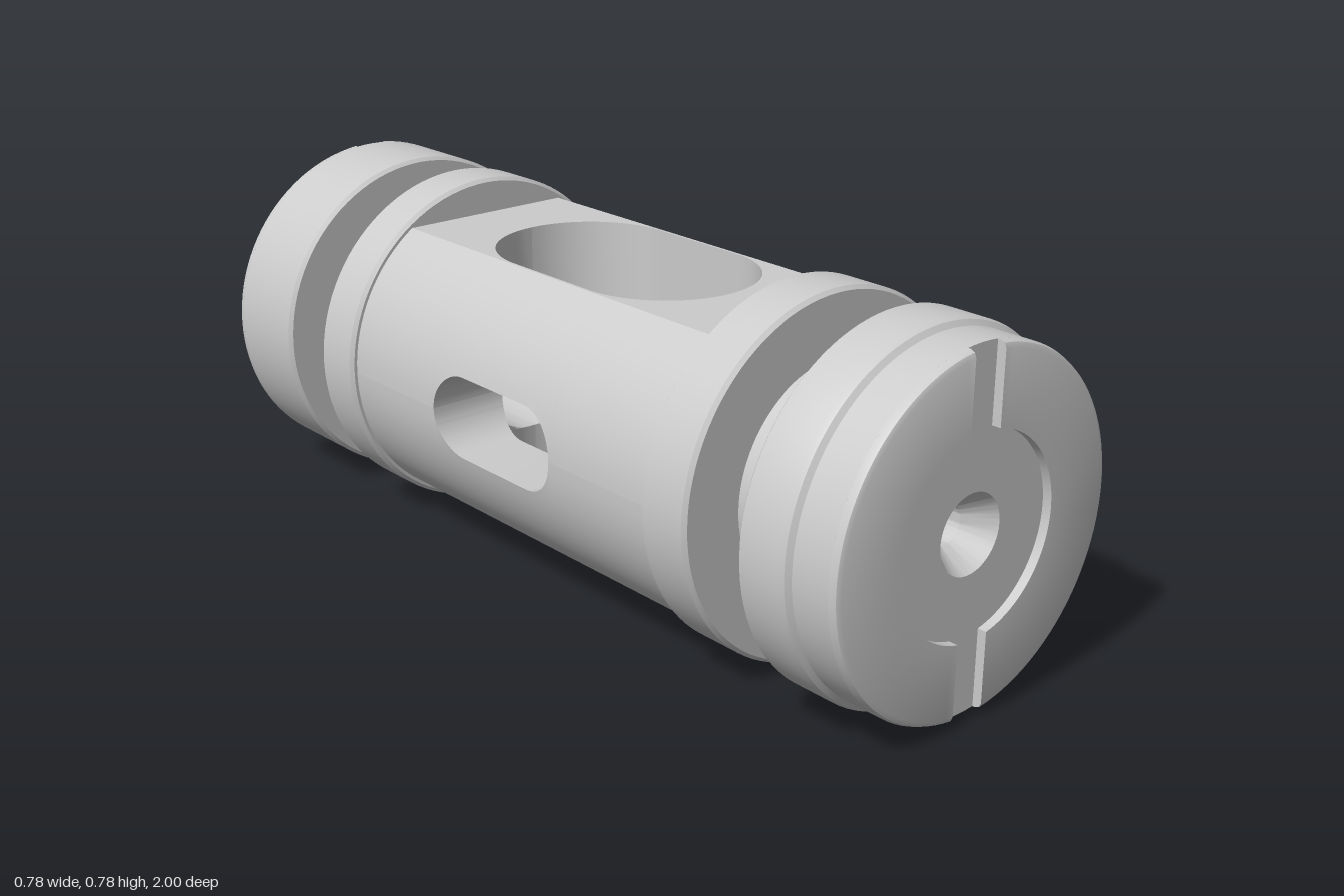
import * as THREE from 'three';
import { toCreasedNormals } from 'three/addons/utils/BufferGeometryUtils.js';

const R = 0.39;            // collar radius, also height of the axis
const BODY_R = 0.375;
const FLAT = 0.31;         // distance of the milled flats from the axis
const BORE = 0.17;         // rear bore radius
const RECESS = 0.98;       // z of the sunken end face
const material = new THREE.MeshStandardMaterial({ color: 0xcccccc });

// Skin a row of closed cross-sections; faces on the mirror planes are left out.
function loft(sections, caps = false) {
  const pos = [];
  const tri = (a, b, c) => {
    const n = b.clone().sub(a).cross(c.clone().sub(a));
    if (n.length() < 1e-9) return;
    if ([a, b, c].every(p => Math.abs(p.x) < 1e-6)) return;
    if ([a, b, c].every(p => Math.abs(p.y) < 1e-6)) return;
    for (const p of [a, b, c]) pos.push(p.x, p.y, p.z);
  };
  for (let i = 0; i < sections.length - 1; i++) {
    const s = sections[i], t = sections[i + 1], n = s.length;
    for (let j = 0; j < n; j++) {
      const k = (j + 1) % n;
      tri(s[j], s[k], t[k]);
      tri(s[j], t[k], t[j]);
    }
  }
  if (caps) {
    const s = sections[0], t = sections[sections.length - 1];
    for (let j = 1; j < s.length - 1; j++) {
      tri(s[0], s[j + 1], s[j]);
      tri(t[0], t[j], t[j + 1]);
    }
  }
  const g = new THREE.BufferGeometry();
  g.setAttribute('position', new THREE.Float32BufferAttribute(pos, 3));
  return toCreasedNormals(g, 0.5);
}

// Half width of a round-ended slot at z
function slotHalf(z, radius, halfLength) {
  const d = Math.max(0, Math.abs(z) - (halfLength - radius));
  return d >= radius - 1e-9 ? 0 : Math.sqrt(radius * radius - d * d);
}

const TOP = [0.205, 0.33], SIDE = [0.093, 0.2];   // slot radius, half length

// One quarter of the body's cross-section, counter-clockwise
function bodySection(z, sx, sy) {
  const low = slotHalf(z, ...SIDE), gap = slotHalf(z, ...TOP);
  const inner = y => Math.max(gap, z < 0 ? Math.sqrt(Math.max(0, BORE * BORE - y * y)) : 0);
  const pts = [];
  const a0 = Math.asin(low / BODY_R), a1 = Math.asin(FLAT / BODY_R);
  for (let i = 0; i <= 16; i++) {
    const a = a0 + (a1 - a0) * i / 16;
    pts.push([BODY_R * Math.cos(a), BODY_R * Math.sin(a)]);
  }
  pts.push([inner(FLAT), FLAT]);
  for (let i = 14; i >= 0; i--) {
    const y = Math.max(low, BORE * Math.sin(i / 14 * Math.PI / 2));
    pts.push([inner(y), y]);
  }
  const loop = pts.map(([x, y]) => new THREE.Vector3(x * sx, y * sy, z));
  return sx * sy < 0 ? loop.reverse() : loop;
}

// Stations along z, closer together around the slot ends
function bodyStations() {
  const zs = new Set([0.5, -0.5]);
  for (const [radius, half] of [TOP, SIDE]) {
    for (let i = 0; i <= 14; i++) {
      const z = +(half - radius + radius * Math.sin(i / 14 * Math.PI / 2)).toFixed(6);
      zs.add(z);
      zs.add(-z);
    }
  }
  return [...zs].sort((a, b) => a - b);
}

// Turned part around the z axis, from [radius, z] points
function turned(points) {
  const flat = new THREE.LatheGeometry(points.map(p => new THREE.Vector2(...p)), 96);
  return toCreasedNormals(flat.toNonIndexed().rotateX(Math.PI / 2), 0.4);
}

// Raised half ring on an end face, leaving a straight notch between the halves
function pad(inner, outer, edge) {
  const profile = [[inner, RECESS], [inner, 1], [outer - edge, 1],
    [outer - edge * 0.3, 1 - edge * 0.3], [outer, 1 - edge], [outer, RECESS]];
  const sections = [];
  for (let i = 0; i <= 48; i++) {
    sections.push(profile.map(([r, z]) => {
      const a = (i / 24 - 1) * (Math.PI / 2 - Math.asin(0.041 / r));
      return new THREE.Vector3(r * Math.cos(a), r * Math.sin(a), z);
    }));
  }
  return loft(sections, true);
}

export function createModel() {
  const group = new THREE.Group();
  const add = (name, geometry) => {
    const mesh = new THREE.Mesh(geometry, material);
    mesh.name = name;
    mesh.position.y = R;
    group.add(mesh);
    return mesh;
  };

  // Slotted body with flats above and below, mirrored from one quarter
  const stations = bodyStations();
  for (const sx of [1, -1]) for (const sy of [1, -1]) {
    add(`body${sy > 0 ? 'Upper' : 'Lower'}${sx > 0 ? 'Left' : 'Right'}`,
      loft(stations.map(z => bodySection(z, sx, sy))));
  }

  // Front collar, neck and stepped head with a countersunk centre hole
  const c = 0.008;
  add('frontHead', turned([
    [0.2, 0.5], [R - c, 0.5], [R, 0.5 + c], [R, 0.625 - c], [R - c, 0.625],
    [0.252, 0.625], [0.252, 0.765], [R - c, 0.765], [R, 0.765 + c],
    [R, 0.875], [R - 0.004, 0.885], [BODY_R, 0.893], [BODY_R, RECESS],
    [0.083, RECESS], [0.042, 0.92], [0.042, 0.88], [0, 0.855],
  ]));

  // Rear head, neck and collar with the open bore
  add('rearHead', turned([
    [BORE, -RECESS], [R, -RECESS], [R, -0.765 - c], [R - c, -0.765],
    [0.252, -0.765], [0.252, -0.625], [R - c, -0.625], [R, -0.625 + -0 + c],
    [R, -0.5 - c], [R - c, -0.5], [BORE, -0.5], [BORE, -RECESS],
  ]));

  // Raised half rings on both end faces
  for (const side of [0, 1]) {
    const tag = side ? 'Right' : 'Left';
    add(`frontPad${tag}`, pad(0.21, BODY_R, 0.014)).rotation.z = side * Math.PI;
    add(`rearPad${tag}`, pad(0.28, R, 0.012).rotateY(Math.PI)).rotation.z = side * Math.PI;
  }
  return group;
}
